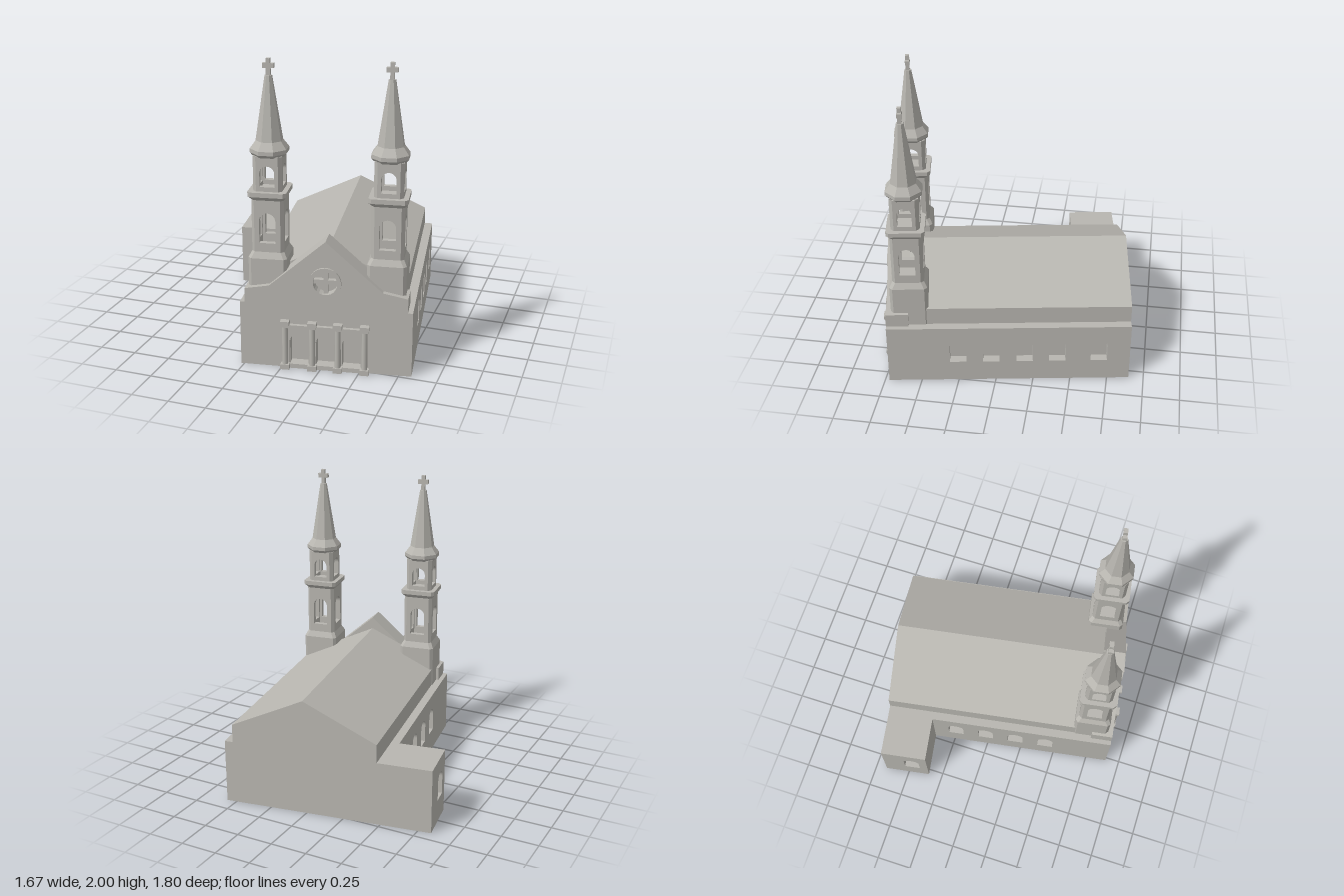
import * as THREE from 'three';

const stone = new THREE.MeshStandardMaterial({ color: 0xb8b6b0 });
stone.name = 'stone';

const HALF = 0.557, BACK = -1.64, WALL = 0.44, D = 0.06, WING = 0.867, WING_FRONT = -1.315;

function add(parent, name, geo, x = 0, y = 0, z = 0, ry = 0) {
  const m = new THREE.Mesh(geo, stone);
  m.name = name;
  m.position.set(x, y, z);
  m.rotation.y = ry;
  parent.add(m);
  return m;
}

// box given by its minimum and maximum corners
function block(parent, name, x0, x1, y0, y1, z0, z1) {
  return add(parent, name, new THREE.BoxGeometry(x1 - x0, y1 - y0, z1 - z0),
    (x0 + x1) / 2, (y0 + y1) / 2, (z0 + z1) / 2);
}

const polygon = pts => new THREE.Shape(pts.map(p => new THREE.Vector2(...p)));
const extrude = (shape, depth) =>
  new THREE.ExtrudeGeometry(shape, { depth, bevelEnabled: false, curveSegments: 12 });

// round-topped opening
function arch(cx, w, y0, y1) {
  const p = new THREE.Path(), r = w / 2;
  p.moveTo(cx - r, y0);
  p.lineTo(cx + r, y0);
  p.lineTo(cx + r, y1 - r);
  p.absarc(cx, y1 - r, r, 0, Math.PI, false);
  p.lineTo(cx - r, y0);
  return p;
}

// wall slab in the xy plane with openings
function wall(x0, x1, y0, y1, holes, depth) {
  const s = polygon([[x0, y0], [x1, y0], [x1, y1], [x0, y1]]);
  s.holes.push(...holes);
  return extrude(s, depth);
}

// solid through stacked chamfered squares: [y, half width, chamfer]
function loft(rings) {
  const pos = [];
  const pts = rings.map(([y, h, c]) => {
    const k = h - c;
    return [[h, -k], [h, k], [k, h], [-k, h], [-h, k], [-h, -k], [-k, -h], [k, -h]]
      .map(([x, z]) => [x, y, z]);
  });
  const tri = (...t) => t.forEach(p => pos.push(...p));
  const top = pts[pts.length - 1];
  for (let i = 0; i < 8; i++) {
    const j = (i + 1) % 8;
    for (let r = 0; r < pts.length - 1; r++) {
      const a = pts[r], b = pts[r + 1];
      tri(a[i], b[i], a[j]);
      tri(a[j], b[i], b[j]);
    }
    tri([0, top[0][1], 0], top[j], top[i]);
    tri([0, pts[0][0][1], 0], pts[0][i], pts[0][j]);
  }
  const g = new THREE.BufferGeometry();
  g.setAttribute('position', new THREE.Float32BufferAttribute(pos, 3));
  g.computeVertexNormals();
  return g;
}

// hollow belfry stage: four arched panels and four chamfered corners
function belfry(parent, name, h, c, y0, y1, w, a0, a1) {
  const t = 0.035, k = h - c;
  const panel = wall(-k, k, y0, y1, [arch(0, w, a0, a1)], t);
  panel.translate(0, 0, h - t);
  const corner = new THREE.PlaneGeometry(c * Math.SQRT2, y1 - y0);
  corner.translate(0, (y0 + y1) / 2, (h - c / 2) * Math.SQRT2);
  for (let i = 0; i < 4; i++) {
    add(parent, name + 'Panel', panel, 0, 0, 0, i * Math.PI / 2);
    add(parent, name + 'Corner', corner, 0, 0, 0, (i + 0.5) * Math.PI / 2);
  }
}

function makeTower(name) {
  const g = new THREE.Group();
  g.name = name;
  add(g, 'towerBase', loft([[0.43, 0.125, 0.02], [0.73, 0.125, 0.02], [0.77, 0.104, 0.02]]));
  belfry(g, 'lowerBelfry', 0.104, 0.02, 0.77, 1.125, 0.105, 0.83, 1.03);
  add(g, 'cornice', loft([[1.115, 0.104, 0.02], [1.14, 0.124, 0.02], [1.17, 0.124, 0.02]]));
  belfry(g, 'upperBelfry', 0.093, 0.022, 1.17, 1.395, 0.095, 1.2, 1.335);
  const oct = (y, h) => [y, h, h * (2 - Math.SQRT2)];
  add(g, 'spire', loft([oct(1.39, 0.1), oct(1.41, 0.116), oct(1.435, 0.116),
    oct(1.485, 0.081), oct(1.895, 0.022)]));
  block(g, 'crossPost', -0.013, 0.013, 1.89, 2, -0.013, 0.013);
  block(g, 'crossArm', -0.036, 0.036, 1.94, 1.97, -0.014, 0.014);
  return g;
}

export function createModel() {
  const model = new THREE.Group();
  model.name = 'church';
  const church = new THREE.Group();
  church.name = 'building';
  church.position.set(0.28, 0, 0.81);
  church.rotation.y = 0.161;
  model.add(church);

  // lower body and side wing, with slabs carrying the recessed windows
  block(church, 'bodyCore', -HALF + D, HALF - D, 0, WALL, BACK, -D);
  block(church, 'wingCore', -WING + D, -HALF + D, 0, WALL, BACK, WING_FRONT);
  const windowZ = [-0.475, -0.7, -0.925, -1.148, -1.43];
  const win = s => windowZ.map(z => arch(s * z, 0.112, 0.155, 0.335));
  add(church, 'rightSideWall', wall(D, -BACK, 0, WALL, win(-1), D), HALF - D, 0, 0, Math.PI / 2);
  add(church, 'leftSideWall', wall(WING_FRONT, -D, 0, WALL, win(1).slice(0, 4), D),
    -HALF + D, 0, 0, -Math.PI / 2);
  add(church, 'wingEndWall', wall(BACK, WING_FRONT, 0, WALL, win(1).slice(4), D),
    -WING + D, 0, 0, -Math.PI / 2);
  const doorX = [-0.17, 0, 0.168];
  const doors = w => doorX.map(x => arch(x, w, 0.03, 0.235 + w / 12));
  add(church, 'frontWall', wall(-HALF, HALF, 0, WALL, doors(0.12), D), 0, 0, -D);

  // nave roof
  add(church, 'naveRoof', extrude(polygon([[-0.5, WALL], [0.5, WALL], [0.5, 0.565],
    [0, 0.8], [-0.5, 0.565]]), -BACK - 0.145), 0, 0, BACK);

  // front gable with recessed round window
  const gable = () => polygon([[-0.525, WALL], [0.525, WALL], [0.525, 0.535], [0.365, 0.565],
    [0, 0.885], [-0.365, 0.565], [-0.525, 0.535]]);
  const circle = r => new THREE.Path().absarc(0, 0.61, r, 0, Math.PI * 2, true);
  const front = gable();
  front.holes.push(circle(0.078));
  add(church, 'gableFront', extrude(front, 0.05), 0, 0, -0.05);
  add(church, 'gableBack', extrude(gable(), 0.1), 0, 0, -0.15);
  const ring = new THREE.Shape().absarc(0, 0.61, 0.103, 0, Math.PI * 2, false);
  ring.holes.push(circle(0.078));
  add(church, 'roundWindowRing', extrude(ring, 0.025), 0, 0, -0.01);
  block(church, 'windowUpright', -0.014, 0.014, 0.531, 0.689, -0.045, -0.01);
  block(church, 'windowCrossbar', -0.079, 0.079, 0.596, 0.624, -0.045, -0.011);

  // portal: arched frame, lintel and columns
  add(church, 'portalFrame', wall(-0.25, 0.25, 0, 0.29, doors(0.132), 0.012));
  block(church, 'lintel', -0.25, 0.25, 0.285, 0.31, 0, 0.024);
  for (const x of [-0.26, -0.083, 0.083, 0.256]) {
    block(church, 'columnBase', x - 0.029, x + 0.029, 0, 0.035, 0, 0.042);
    add(church, 'columnShaft', new THREE.CylinderGeometry(0.019, 0.019, 0.28, 12), x, 0.17, 0.018);
    block(church, 'columnNeck', x - 0.023, x + 0.023, 0.295, 0.312, 0, 0.037);
    block(church, 'columnCapital', x - 0.029, x + 0.029, 0.31, 0.338, 0, 0.042);
  }

  // twin towers
  for (const s of [-1, 1]) {
    const t = makeTower(s > 0 ? 'leftTower' : 'rightTower');
    t.position.set(s * 0.381, 0, -0.16);
    church.add(t);
  }
  return model;
}
